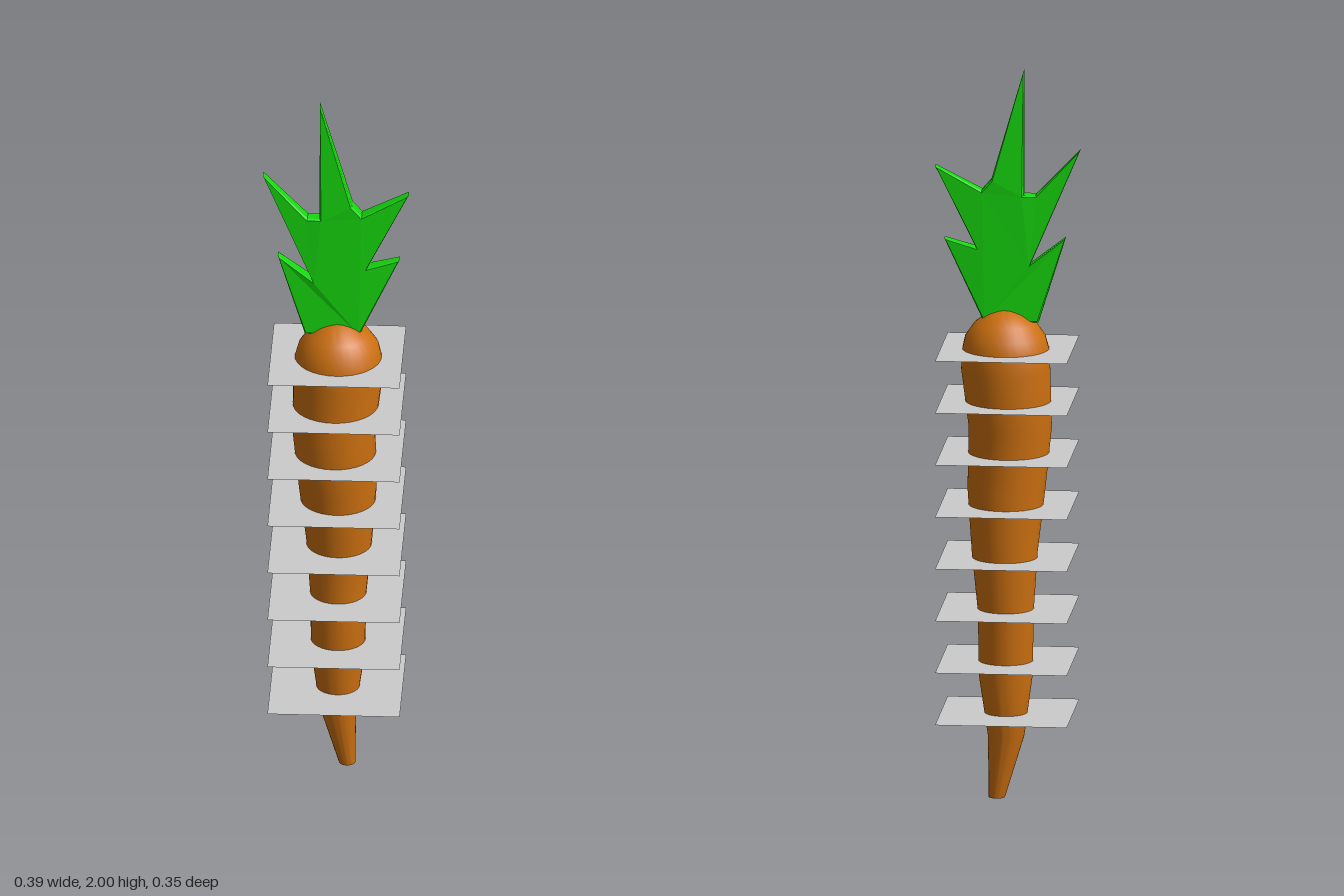
import * as THREE from 'three';
import { mergeVertices, toCreasedNormals } from 'three/addons/utils/BufferGeometryUtils.js';

// root rings: height, radius, centre x, centre z
const RINGS = [
  [0, 0, 0.026, 0.001],
  [0, 0.022, 0.026, 0.001],
  [0.17, 0.049, 0.001, 0.002],
  [0.34, 0.073, 0.002, 0.002],
  [0.51, 0.075, 0.002, 0.003],
  [0.68, 0.089, 0.004, -0.007],
  [0.85, 0.105, 0.001, 0.012],
  [1.02, 0.112, -0.01, 0.004],
  [1.18, 0.12, 0.002, 0.001],
  [1.23, 0.118, 0.002, 0.001],
  [1.27, 0.108, 0.003, 0.001],
  [1.305, 0.084, 0.003, 0.001],
  [1.33, 0.05, 0.003, 0.001],
  [1.342, 0.022, 0.003, 0.001],
  [1.345, 0, 0.003, 0.001],
];

// leaf outline, counter-clockwise from the lower right
const LEAF = [
  [0.06, 1.31], [0.167, 1.537], [0.08, 1.512], [0.192, 1.735], [0.066, 1.67],
  [0.04, 1.70], [-0.047, 2], [-0.047, 1.66], [-0.08, 1.66], [-0.2, 1.785],
  [-0.066, 1.47], [-0.16, 1.543], [-0.087, 1.31],
];

function makeRoot() {
  let geo = new THREE.LatheGeometry(RINGS.map(([y, r]) => new THREE.Vector2(r, y)), 32);
  const pos = geo.attributes.position;
  // shift each ring sideways for the crooked body
  for (let i = 0; i < pos.count; i++) {
    const [, , cx, cz] = RINGS[i % RINGS.length];
    pos.setX(i, pos.getX(i) + cx);
    pos.setZ(i, pos.getZ(i) + cz);
  }
  geo.deleteAttribute('uv');
  geo.deleteAttribute('normal');
  geo = mergeVertices(geo, 1e-5);
  return toCreasedNormals(geo, 0.9);
}

function makeLeaves() {
  const shape = new THREE.Shape(LEAF.map(([x, y]) => new THREE.Vector2(x, y)));
  const geo = new THREE.ExtrudeGeometry(shape, {
    depth: 1.4, bevelEnabled: true, bevelThickness: 0.3, bevelSize: 0.004,
    bevelOffset: -0.004, bevelSegments: 1,
  });
  geo.translate(0, 0, -0.7);
  const pos = geo.attributes.position;
  // thick along the middle, thin at the tips
  for (let i = 0; i < pos.count; i++) {
    const x = pos.getX(i), y = pos.getY(i);
    const tip = Math.min(1, Math.abs(x) / 0.16 + Math.max(0, y - 1.72) / 0.27);
    pos.setZ(i, 0.002 + pos.getZ(i) * THREE.MathUtils.lerp(0.027, 0.015, tip));
  }
  geo.computeVertexNormals();
  return geo;
}

export function createModel() {
  const group = new THREE.Group();
  const add = (name, geo, material) => {
    const mesh = new THREE.Mesh(geo, material);
    mesh.name = name;
    group.add(mesh);
    return mesh;
  };
  add('carrotRoot', makeRoot(), new THREE.MeshStandardMaterial({ color: 0xcc7010 }));
  add('leaves', makeLeaves(), new THREE.MeshStandardMaterial({ color: 0x16d80e }));

  // evenly spaced flat square sheets crossing the root
  const grey = new THREE.MeshStandardMaterial({ color: 0xcccccc, side: THREE.DoubleSide });
  const sheet = new THREE.PlaneGeometry(0.355, 0.355).rotateX(-Math.PI / 2);
  for (let i = 0; i < 8; i++) {
    add('sheet' + (i + 1), sheet, grey).position.set(-0.002, 0.234 + i * 0.143, 0);
  }
  return group;
}
